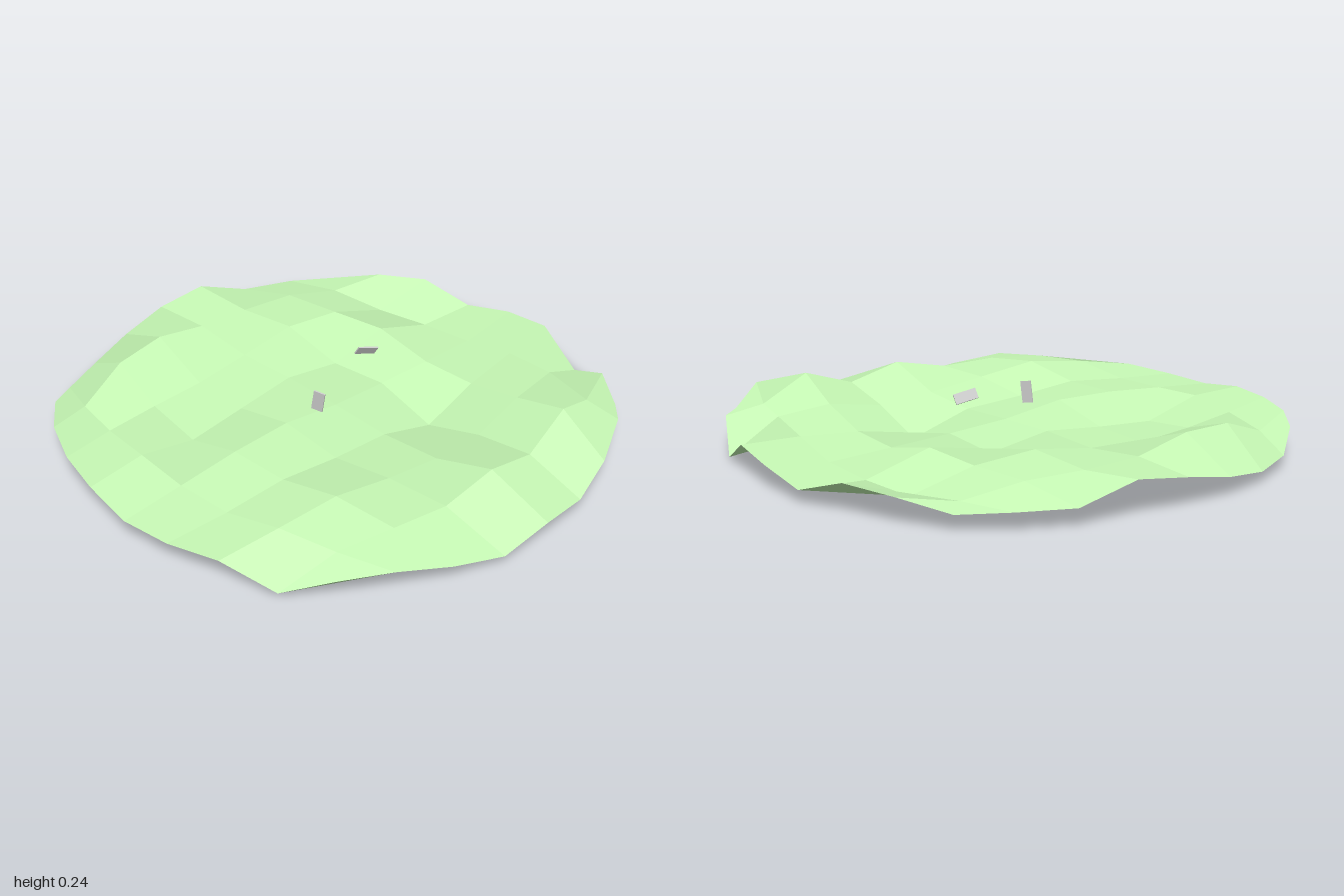
import * as THREE from 'three';

// Ground heights in hundredths: rows run back to front, columns -x to +x
const HEIGHTS = [
  [10.5, 5, 4.5, 7.5, 11.5, 14, 7, 7, 6],
  [11.5, 8.5, 16, 17, 12.5, 11.5, 11, 7, 10],
  [11.5, 10, 8.5, 7.5, 9.5, 13, 11, 4, 11.5],
  [11, 11.5, 5.5, 7.5, 10, 6, 12, 4.5, 5],
  [8, 10, 12, 12.5, 9, 7.5, 6.5, 5.5, 9],
  [8.5, 9.5, 11.5, 9, 7.5, 0, 7, 9.5, 11],
  [9.5, 13, 15.5, 12, 9, 7.5, 12, 11.5, 1],
  [2, 12, 13, 12, 16.5, 11.5, 19, 11, 11],
  [8.5, 10.5, 7, 3, 7, 5.5, 9.5, 14.5, 9],
];

// Pulls a square-grid coordinate in towards a round outline
const rounded = (a, b) => a * (1 - (0.2 + 0.067 * a ** 4) * b * b);

function groundPoint(row, col) {
  const x = col / 4 - 1, z = row / 4 - 1;
  return new THREE.Vector3(rounded(x, z), HEIGHTS[row][col] / 100, rounded(z, x));
}

// Faceted ground: each four-sided patch is shaded as one facet
function makeGround() {
  const positions = [], normals = [];
  for (let r = 0; r < 8; r++) {
    for (let c = 0; c < 8; c++) {
      const p = groundPoint(r, c), q = groundPoint(r + 1, c);
      const s = groundPoint(r + 1, c + 1), t = groundPoint(r, c + 1);
      const n = s.clone().sub(p).cross(t.clone().sub(q)).normalize();
      for (const v of [p, q, s, p, s, t]) {
        positions.push(v.x, v.y, v.z);
        normals.push(n.x, n.y, n.z);
      }
    }
  }
  const geo = new THREE.BufferGeometry();
  geo.setAttribute('position', new THREE.Float32BufferAttribute(positions, 3));
  geo.setAttribute('normal', new THREE.Float32BufferAttribute(normals, 3));
  const ground = new THREE.Mesh(geo, new THREE.MeshStandardMaterial({
    color: 0xc8fab6, side: THREE.DoubleSide,
  }));
  ground.name = 'ground';
  return ground;
}

// Small thin plate spanned by two edge vectors around its centre
function makePlate(name, centre, along, across) {
  const u = new THREE.Vector3(...along), v = new THREE.Vector3(...across);
  const geo = new THREE.BoxGeometry(u.length(), v.length(), 0.006);
  u.normalize();
  const n = new THREE.Vector3().crossVectors(u, v).normalize();
  v.crossVectors(n, u);
  const plate = new THREE.Mesh(geo, new THREE.MeshStandardMaterial({ color: 0xcccccc, flatShading: true }));
  plate.quaternion.setFromRotationMatrix(new THREE.Matrix4().makeBasis(u, v, n));
  plate.position.set(...centre);
  plate.name = name;
  return plate;
}

export function createModel() {
  const model = new THREE.Group();
  model.name = 'bumpyMeadow';
  model.add(
    makeGround(),
    makePlate('uprightPlate', [-0.117, 0.17, 0.028], [0, 0.08, 0.015], [0.016, -0.008, 0.04]),
    makePlate('tiltedPlate', [0.211, 0.217, -0.046], [0.078, -0.02, 0.026], [0, 0.033, 0.02]),
  );
  return model;
}
